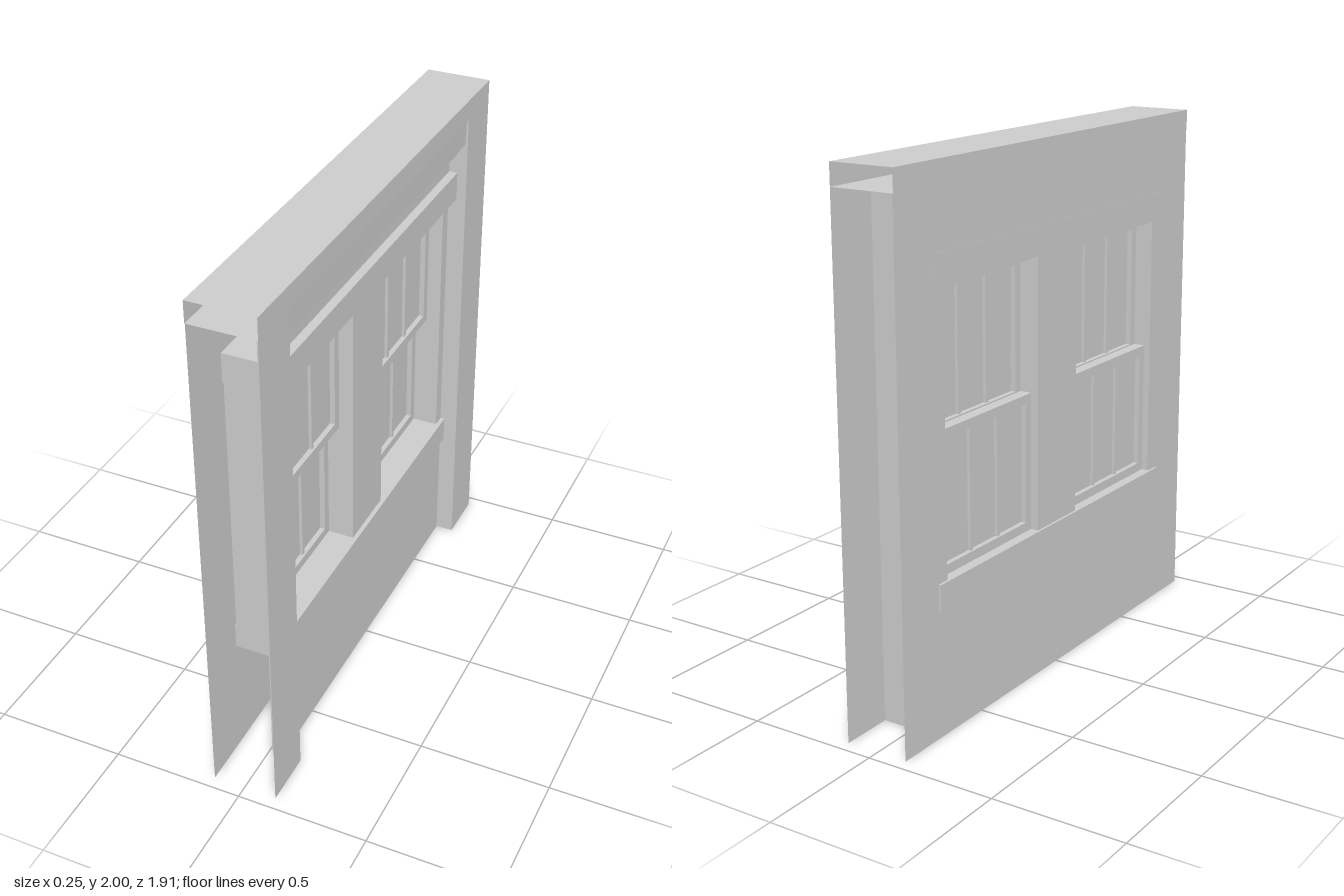
import * as THREE from 'three';

const material = new THREE.MeshStandardMaterial({ color: 0xcccccc, flatShading: true, side: THREE.DoubleSide });

const BACK = -0.12, FRONT = 0.125, END = 0.955, BAY = 0.75, CASING = 0.055;
const WIN_IN = 0.13, WIN_OUT = 0.7, WIN_LOW = 0.57, WIN_HIGH = 1.59, LID = 1.92;

export function createModel() {
  const model = new THREE.Group();
  model.name = 'windowWall';

  const add = (parent, name, geometry) => {
    const mesh = new THREE.Mesh(geometry, material);
    mesh.name = name;
    parent.add(mesh);
    return mesh;
  };

  // Solid block given by its limits on each axis
  const block = (parent, name, x0, x1, y0, y1, z0, z1) =>
    add(parent, name, new THREE.BoxGeometry(x1 - x0, y1 - y0, z1 - z0))
      .position.set((x0 + x1) / 2, (y0 + y1) / 2, (z0 + z1) / 2);

  // Upright sheet in a plane of constant x, with rectangular holes [z0, z1, y0, y1]
  const sheet = (parent, name, x, y0, y1, z0, z1, holes = [], turn = -1) => {
    const rect = (path, a, b, c, d) =>
      path.moveTo(a, c).lineTo(b, c).lineTo(b, d).lineTo(a, d).lineTo(a, c);
    const shape = rect(new THREE.Shape(), z0, z1, y0, y1);
    holes.forEach(h => shape.holes.push(rect(new THREE.Path(), ...h)));
    const geometry = new THREE.ShapeGeometry(shape);
    geometry.rotateY(-Math.PI / 2);
    if (turn > 0) geometry.rotateY(Math.PI);
    add(parent, name, geometry).position.x = x;
  };

  // Ribbon sweeping an open [x, y] profile along z between -half and half
  const ribbon = (parent, name, profile, half) => {
    const positions = [];
    for (let i = 0; i < profile.length - 1; i++) {
      const [ax, ay] = profile[i], [bx, by] = profile[i + 1];
      positions.push(ax, ay, half, bx, by, half, bx, by, -half);
      positions.push(ax, ay, half, bx, by, -half, ax, ay, -half);
    }
    const geometry = new THREE.BufferGeometry();
    geometry.setAttribute('position', new THREE.Float32BufferAttribute(positions, 3));
    geometry.computeVertexNormals();
    add(parent, name, geometry);
  };

  // Back wall with the two window openings
  sheet(model, 'backWall', BACK, 0, LID, -END, END, [
    [WIN_IN, WIN_OUT, WIN_LOW, WIN_HIGH],
    [-WIN_OUT, -WIN_IN, WIN_LOW, WIN_HIGH],
  ]);

  // Hollow top beam, open at both ends
  ribbon(model, 'topBeam', [[FRONT, 2], [FRONT, LID], [-0.122, LID], [-0.122, 2], [FRONT, 2]], END);

  // Front piers and the returns into the bay
  for (const s of [-1, 1]) {
    sheet(model, 'frontPier', FRONT, 0, LID, Math.min(s * BAY, s * END), Math.max(s * BAY, s * END), [], 1);
    const jamb = add(model, 'bayReturn', new THREE.PlaneGeometry(FRONT - 0.01, LID));
    jamb.position.set((FRONT + 0.01) / 2, LID / 2, s * BAY);
    if (s > 0) jamb.rotation.y = Math.PI;
  }

  // Stepped crown moulding, running down into the frieze
  ribbon(model, 'crownMoulding', [
    [0.118, LID], [0.115, 1.82], [0.1, 1.82], [0.1, 1.8],
    [0.085, 1.8], [0.085, 1.775], [CASING, 1.775], [CASING, 1.7],
  ], BAY);

  // Lower panel, header and sill
  sheet(model, 'lowerPanel', CASING, 0, 0.47, -BAY, BAY, [], 1);
  block(model, 'header', -0.121, 0.088, WIN_HIGH, 1.7, -BAY, BAY);
  block(model, 'sill', -0.13, 0.072, 0.47, WIN_LOW, -BAY, BAY);

  // Window posts
  block(model, 'centrePost', -0.119, CASING, WIN_LOW, WIN_HIGH, -WIN_IN, WIN_IN);
  block(model, 'sidePost', -0.115, CASING, WIN_LOW, WIN_HIGH, WIN_OUT, BAY);
  block(model, 'sidePost', -0.115, CASING, WIN_LOW, WIN_HIGH, -BAY, -WIN_OUT);

  // One sash: frame, recessed pane and two upright glazing bars
  const sash = (name, x0, x1, y0, y1, z0, z1) => {
    const group = new THREE.Group();
    group.name = name;
    model.add(group);
    const rim = 0.035, mid = (x0 + x1) / 2;
    block(group, 'bottomRail', x0, x1, y0, y0 + rim, z0, z1);
    block(group, 'topRail', x0, x1, y1 - rim, y1, z0, z1);
    block(group, 'stile', x0, x1, y0 + rim, y1 - rim, z0, z0 + rim);
    block(group, 'stile', x0, x1, y0 + rim, y1 - rim, z1 - rim, z1);
    block(group, 'pane', mid - 0.003, mid + 0.003, y0 + rim, y1 - rim, z0 + rim, z1 - rim);
    for (const t of [1 / 3, 2 / 3]) {
      const z = z0 + rim + t * (z1 - z0 - 2 * rim);
      block(group, 'glazingBar', mid - 0.014, mid + 0.014, y0 + rim, y1 - rim, z - 0.008, z + 0.008);
    }
  };

  // Upper sashes sit forward of the lower ones
  for (const [z0, z1] of [[WIN_IN, WIN_OUT], [-WIN_OUT, -WIN_IN]]) {
    sash('upperSash', -0.045, 0, 1.06, WIN_HIGH, z0, z1);
    sash('lowerSash', -0.09, -0.045, WIN_LOW, 1.09, z0, z1);
  }
  return model;
}
